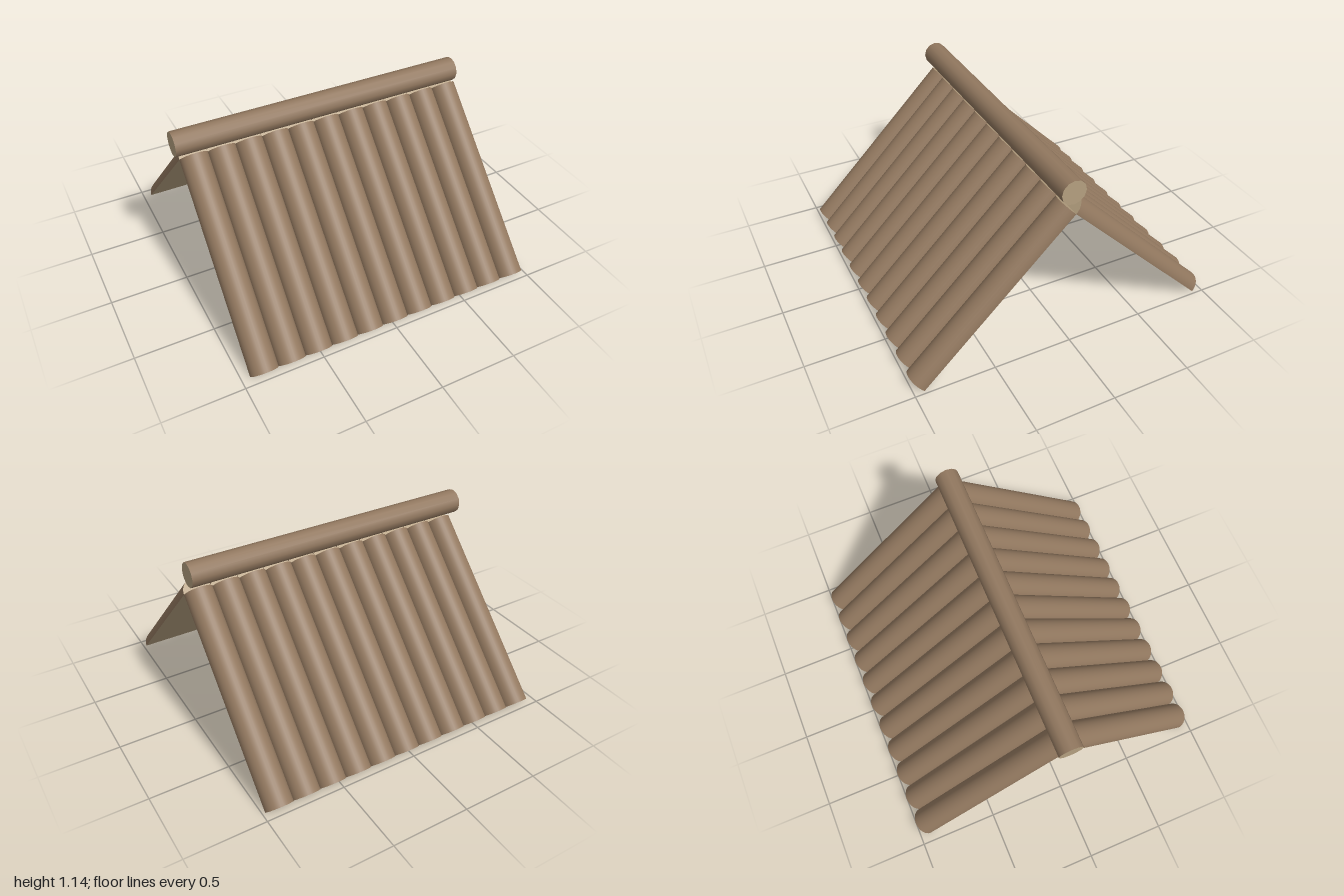
import * as THREE from 'three';

const bark = new THREE.MeshStandardMaterial({ color: 0x92785f });
const cutWood = new THREE.MeshStandardMaterial({ color: 0xb5a080 });

const LOGS = 11, SPACING = 0.1751, RADIUS = 0.0885;
const FOOT = 0.937;                    // inner edge reach, along z and y
const LENGTH = FOOT * Math.SQRT2;

// Half-round log: bark dome towards +z, sawn flat at z = 0, axis along y
function halfLog() {
  const log = new THREE.Group();
  log.name = 'halfLog';
  const dome = new THREE.Mesh(
    new THREE.CylinderGeometry(RADIUS, RADIUS, LENGTH, 16, 1, false, -Math.PI / 2, Math.PI),
    [bark, cutWood, cutWood]);
  dome.name = 'barkDome';
  const flat = new THREE.Mesh(new THREE.PlaneGeometry(2 * RADIUS, LENGTH).rotateY(Math.PI), cutWood);
  flat.name = 'sawnFace';
  log.add(dome, flat);
  return log;
}

// One 45 degree slope of logs; side = 1 front, -1 back
function roofSlope(side) {
  const slope = new THREE.Group();
  slope.name = side > 0 ? 'frontSlope' : 'backSlope';
  for (let i = 0; i < LOGS; i++) {
    const log = halfLog();
    log.rotation.x = -Math.PI / 4;
    log.position.set(side * (-0.858 + i * SPACING), FOOT / 2, FOOT / 2);
    slope.add(log);
  }
  if (side < 0) slope.rotation.y = Math.PI;
  return slope;
}

export function createModel() {
  const model = new THREE.Group();
  model.name = 'logRoof';
  model.add(roofSlope(1), roofSlope(-1));

  // Round ridge log resting in the notch between the slopes
  const ridge = new THREE.Mesh(
    new THREE.CylinderGeometry(0.078, 0.078, 1.93, 12).rotateZ(Math.PI / 2),
    [bark, cutWood, cutWood]);
  ridge.name = 'ridgeLog';
  ridge.position.set(-0.015, 1.059, 0);
  model.add(ridge);
  return model;
}
